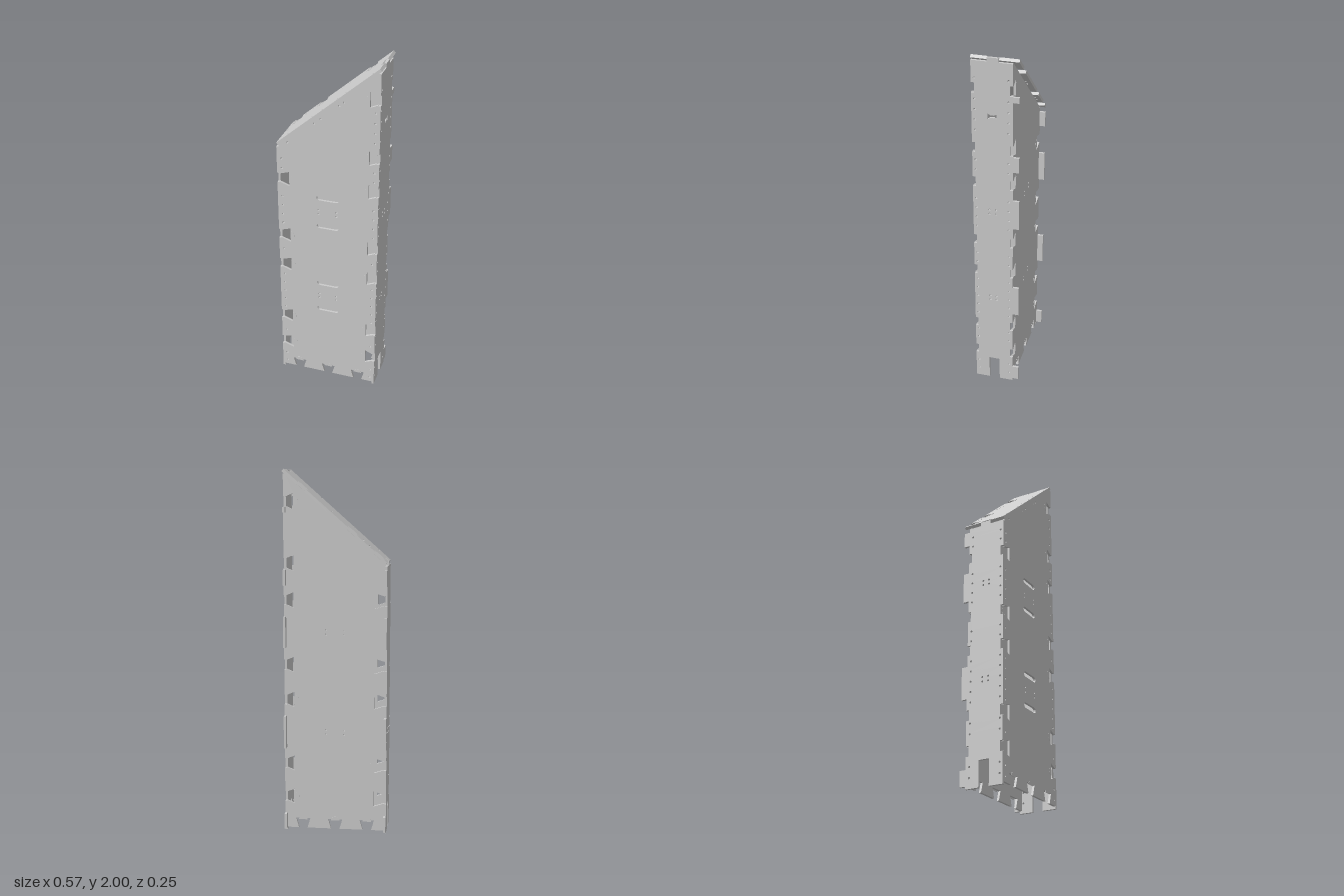
import * as THREE from 'three';

const mat = new THREE.MeshStandardMaterial({ color: 0xcccccc, side: THREE.DoubleSide });
const T = 0.013;                       // sheet thickness
const XL = -0.27, XR = 0.268;          // inner faces of the side walls
const Z_FRONT = 0.123, Z_BACK = -0.092, Z_TAB = -0.125;
const SLOPE = 0.492 / 0.555, ANGLE = Math.atan(SLOPE), TOP_T = 0.0165;
const topY = x => 1.508 + (x + 0.283) * SLOPE;                  // upper face of the lid
const underY = x => topY(x) - TOP_T / Math.cos(ANGLE);          // lower face of the lid

const LEFT_NOTCHES = [0.2, 0.39, 0.75, 0.945, 1.3];
const RIGHT_NOTCHES = [...LEFT_NOTCHES, 1.5, 1.83];
const BOTTOM_NOTCHES = [-0.177, 0, 0.18];

// Flat sheet from an outline and hole outlines, extruded along +z
function sheet(outline, holes, depth) {
  const shape = new THREE.Shape(outline.map(p => new THREE.Vector2(p[0], p[1])));
  for (const h of holes) shape.holes.push(new THREE.Path(h.map(p => new THREE.Vector2(p[0], p[1]))));
  return new THREE.ExtrudeGeometry(shape, { depth, bevelEnabled: false });
}

function add(parent, name, geometry) {
  const mesh = new THREE.Mesh(geometry, mat);
  mesh.name = name;
  parent.add(mesh);
  return mesh;
}

// Small round screw hole
function round(x, y, r = 0.006) {
  return Array.from({ length: 8 }, (_, i) => {
    const a = i * Math.PI / 4;
    return [x + r * Math.cos(a), y + r * Math.sin(a)];
  });
}

// Long hole with rounded ends
function slot(x, y, w, h) {
  const pts = [];
  for (let i = 0; i < 14; i++) {
    const a = -Math.PI / 2 + (i % 7) * Math.PI / 6 + (i > 6 ? Math.PI : 0);
    pts.push([x + (i > 6 ? -1 : 1) * (w - h) / 2 + Math.cos(a) * h / 2, y + Math.sin(a) * h / 2]);
  }
  return pts;
}

// Dovetail notch: entered at p, running along direction a, cut inward along n
function dovetail(p, a, n, depth, outer, inner) {
  const at = (s, d) => [p[0] + a[0] * s + n[0] * d, p[1] + a[1] * s + n[1] * d];
  return [at(-outer, 0), at(-inner, depth), at(inner, depth), at(outer, 0)];
}

// Thin half disc beside a notch
function halfDisc(x, y, turn) {
  const shape = new THREE.Shape();
  shape.absarc(0, 0, 0.024, 0, Math.PI, false);
  const g = new THREE.ExtrudeGeometry(shape, { depth: 0.002, bevelEnabled: false, curveSegments: 10 });
  return g.rotateZ(turn).translate(x, y, 0);
}

// Front and back panels: slanted top, dovetails on sides and bottom
function panel(name, z, outsideZ, isFront) {
  const group = new THREE.Group();
  group.name = name;
  const y0 = 0.02;
  const outline = [[XL, y0]];
  for (const x of BOTTOM_NOTCHES) outline.push(...dovetail([x, y0], [1, 0], [0, 1], 0.055, 0.024, 0.04));
  outline.push([XR, y0]);
  for (const y of RIGHT_NOTCHES) outline.push(...dovetail([XR, y], [0, 1], [-1, 0], 0.042, 0.025, 0.043));
  outline.push([XR, underY(XR)], [XL, underY(XL)]);
  for (const y of [...LEFT_NOTCHES].reverse())
    outline.push(...dovetail([XL, y], [0, -1], [1, 0], 0.055, 0.025, 0.043));

  const holes = [];
  for (const y of [1.115, 1.14, 0.56, 0.585]) for (const x of [-0.05, 0.05]) holes.push(round(x, y));
  if (isFront) {
    for (const y of [1.215, 1.04, 0.66, 0.485]) holes.push(slot(0, y, 0.125, 0.03));
    // edge screw holes, kept clear of the notches
    const column = (x, notches, end) => {
      for (let y = 0.05; y < end; y += 0.057)
        if (notches.every(n => Math.abs(n - y) > 0.055)) holes.push(round(x, y));
    };
    column(0.256, RIGHT_NOTCHES, 1.93);
    column(-0.256, LEFT_NOTCHES, 1.47);
    for (const x of [-0.22, -0.07, -0.035, 0.065, 0.09]) holes.push(round(x, underY(x) - 0.022));
  }
  add(group, name + 'Sheet', sheet(outline, holes, T)).position.z = z;

  const discs = new THREE.Group();
  discs.name = 'notchDiscs';
  for (const y of RIGHT_NOTCHES) add(discs, 'notchDisc', halfDisc(XR - 0.042, y, Math.PI / 2));
  for (const y of LEFT_NOTCHES) add(discs, 'notchDisc', halfDisc(XL + 0.055, y, -Math.PI / 2));
  for (const x of BOTTOM_NOTCHES) add(discs, 'notchDisc', halfDisc(x, 0.075, 0)).scale.y = 0.9;
  discs.position.z = outsideZ;
  group.add(discs);
  return group;
}

// Side wall, drawn with z across and y up: back tabs, foot slot, edge cuts
function wall(name, xOuter, xLow, notches, tabs, hasTie) {
  const top = underY(xLow), tip = topY(xLow);
  const outline = [[Z_BACK, 0.005], [-0.015, 0.005], [-0.015, 0.145], [0.045, 0.145], [0.045, 0.005], [Z_FRONT, 0.005]];
  for (const y of notches)
    outline.push([Z_FRONT, y - 0.028], [0.107, y - 0.028], [0.107, y + 0.028], [Z_FRONT, y + 0.028]);
  // tongue through the lid
  outline.push([Z_FRONT, top], [0.04, top], [0.04, tip], [-0.02, tip], [-0.02, top], [Z_BACK, top]);
  // back edge from top to bottom: inward cuts and outward tabs
  const steps = [
    ...notches.map(y => [y - 0.028, y + 0.028, -0.076]),
    ...tabs.map(t => [t[0], t[1], Z_TAB]),
  ].sort((a, b) => b[0] - a[0]);
  for (const [lo, hi, z] of steps) outline.push([Z_BACK, hi], [z, hi], [z, lo], [Z_BACK, lo]);

  const holes = [];
  for (const y of [1.115, 1.14, 0.56, 0.585]) for (const z of [0, 0.035]) holes.push(round(z, y));
  for (let y = 0.06; y < top - 0.04; y += 0.057)
    if (notches.every(n => Math.abs(n - y) > 0.045)) holes.push(round(0.106, y), round(-0.07, y));
  if (hasTie)
    holes.push([[-0.008, 1.667], [0.005, 1.675], [0.025, 1.675], [0.038, 1.667],
      [0.038, 1.697], [0.025, 1.689], [0.005, 1.689], [-0.008, 1.697]]);

  const mesh = new THREE.Mesh(sheet(outline, holes, T).rotateY(-Math.PI / 2), mat);
  mesh.name = name;
  mesh.position.x = xOuter;
  return mesh;
}

// Sloping lid, drawn flat with its length across and -z up
function lid() {
  const group = new THREE.Group();
  group.name = 'slopingLid';
  const u = x => (x + 0.283) / Math.cos(ANGLE);
  const end = u(0.272);
  const outline = [[0, -Z_FRONT], [end, -Z_FRONT], [end, -0.04], [end - 0.022, -0.04],
    [end - 0.022, 0.022], [end, 0.022], [end, -Z_TAB]];
  const notches = [0.172, -0.097, -0.24];
  for (const x of notches) outline.push(...dovetail([u(x), -Z_TAB], [-1, 0], [0, -1], 0.05, 0.027, 0.041));
  outline.push([0, -Z_TAB], [0, 0.022], [0.026, 0.022], [0.026, -0.04], [0, -0.04]);

  const holes = [];
  for (const x of [-0.22, -0.087, -0.037, 0.047, 0.096, 0.23]) holes.push(round(u(x), -0.103));
  for (const x of [-0.185, -0.152, 0.02, 0.054]) for (const z of [-0.098, -0.077]) holes.push(round(u(x), -z));

  const g = sheet(outline, holes, TOP_T).translate(0, 0, -TOP_T).rotateX(-Math.PI / 2);
  add(group, 'lidSheet', g);
  for (const x of notches) add(group, 'notchDisc', halfDisc(u(x), 0.075, Math.PI).rotateX(-Math.PI / 2));
  group.rotation.z = ANGLE;
  group.position.set(-0.283, topY(-0.283), 0);
  return group;
}

export function createModel() {
  const model = new THREE.Group();
  model.name = 'slantedPanelBox';
  const tabs = [[0.02, 0.105], [0.48, 0.66], [1.04, 1.21]];
  model.add(
    panel('frontPanel', Z_FRONT - T, Z_FRONT - 0.001, true),
    panel('backPanel', Z_BACK, Z_BACK - 0.001, false),
    wall('leftWall', XR + T, XR, RIGHT_NOTCHES, [...tabs, [1.38, 1.465], [1.77, 1.8]], true),
    wall('rightWall', XL, XL - T, LEFT_NOTCHES, [...tabs, [1.38, 1.465]], false),
    lid(),
  );
  return model;
}
